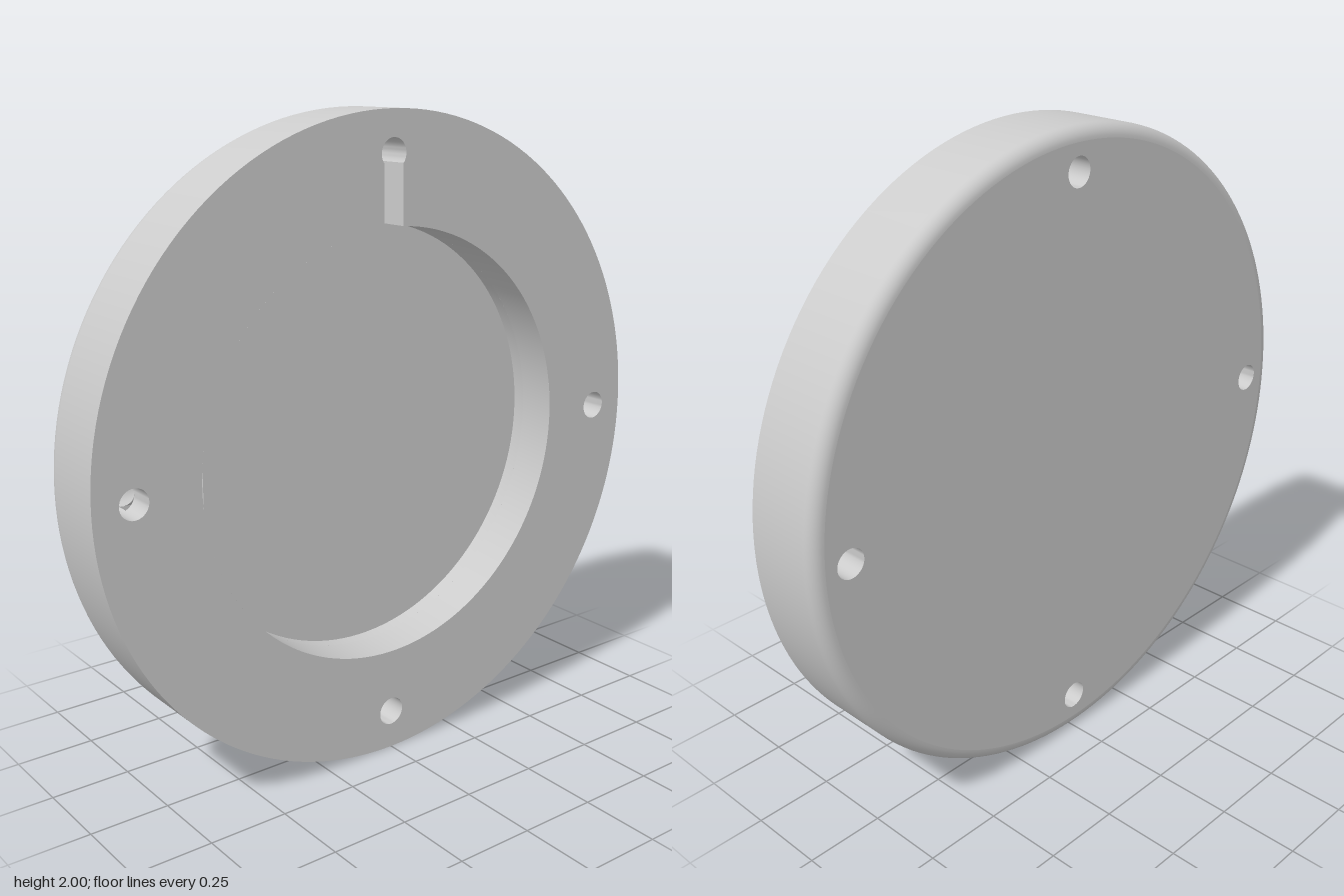
import * as THREE from 'three';
import { toCreasedNormals } from 'three/addons/utils/BufferGeometryUtils.js';

const FRONT = 0.125, BACK = -0.125, FLOOR = -0.042, SLOT = 0;
const R = 1, FILLET = 0.042, POCKET = 0.667, PITCH = 0.875, HOLE = 0.045;
const SLOT_HALF = 0.035, PORT = 0.0415, PATCH = 0.09;
const PI = Math.PI;

// Points along an arc, counter-clockwise
function arc(cx, cy, r, a0, a1, n) {
  return Array.from({ length: n + 1 }, (_, i) => {
    const a = a0 + (a1 - a0) * i / n;
    return new THREE.Vector2(cx + r * Math.cos(a), cy + r * Math.sin(a));
  });
}

const circle = (cx, cy, r, n) => arc(cx, cy, r, 0, 2 * PI, n);

// Wall standing on a 2D path between two depths
function wall(points, z0, z1) {
  const pos = [], index = [];
  points.forEach((p, i) => {
    pos.push(p.x, p.y, z0, p.x, p.y, z1);
    if (i) {
      const k = 2 * i;
      index.push(k - 2, k - 1, k, k, k - 1, k + 1);
    }
  });
  const g = new THREE.BufferGeometry();
  g.setAttribute('position', new THREE.Float32BufferAttribute(pos, 3));
  g.setIndex(index);
  return toCreasedNormals(g, 0.6);
}

// Flat face with holes at one depth
function face(outline, holes, z) {
  const s = new THREE.Shape(outline.slice());
  s.holes = holes.map((h) => new THREE.Path(h.slice()));
  return new THREE.ShapeGeometry(s).translate(0, 0, z);
}

export function createModel() {
  const model = new THREE.Group();
  const material = new THREE.MeshStandardMaterial({ color: 0xcccccc, side: THREE.DoubleSide });
  const add = (name, geometry) => {
    const m = new THREE.Mesh(geometry, material);
    m.name = name;
    m.position.y = 1;
    model.add(m);
  };

  // Angles where the slot meets the pocket and the top hole
  const a = Math.asin(SLOT_HALF / POCKET), b = Math.asin(SLOT_HALF / HOLE);
  const topArc = arc(0, PITCH, HOLE, -PI / 2 + b, 1.5 * PI - b, 32);
  const pocketArc = arc(0, 0, POCKET, PI / 2 + a, 2.5 * PI - a, 128);
  const holes = [[PITCH, 0], [0, -PITCH], [-PITCH, 0], [0, PITCH]]
    .map(([x, y]) => circle(x, y, HOLE, 36));

  // Outer rim with a rounded back edge
  const profile = [new THREE.Vector2(R, FRONT),
    ...arc(R - FILLET, BACK + FILLET, FILLET, 0, -PI / 2, 8)];
  add('outerRim', new THREE.LatheGeometry(profile, 160).rotateX(PI / 2));

  // Flat faces
  add('backFace', face(circle(0, 0, R - FILLET, 160), holes, BACK));
  add('frontFace', face(circle(0, 0, R, 160),
    [[...pocketArc, ...topArc], ...holes.slice(0, 3)], FRONT));
  add('pocketFloor', new THREE.CircleGeometry(POCKET, 128).translate(0, 0, FLOOR));
  add('slotFloor', face([
    ...arc(0, 0, POCKET, PI / 2 - a, PI / 2 + a, 6),
    ...arc(0, PITCH, HOLE, -PI / 2 - b, -PI / 2 + b, 10)], [], SLOT));

  // Pocket wall, interrupted by the slot and the side port
  add('pocketWallLower', wall(arc(0, 0, POCKET, -PI + PATCH, PI - PATCH, 124), FLOOR, SLOT));
  add('pocketWallRight', wall(arc(0, 0, POCKET, PI / 2 + a, PI - PATCH, 32), SLOT, FRONT));
  add('pocketWallRest', wall(arc(0, 0, POCKET, PI + PATCH, 2.5 * PI - a, 96), SLOT, FRONT));

  // Slot sides
  const yPocket = POCKET * Math.cos(a), yHole = PITCH - HOLE * Math.cos(b);
  for (const x of [-SLOT_HALF, SLOT_HALF]) {
    add('slotSide', wall([new THREE.Vector2(x, yPocket), new THREE.Vector2(x, yHole)], SLOT, FRONT));
  }

  // Piece of pocket wall pierced by the port, bent onto the pocket radius
  const u = PATCH * POCKET;
  const patch = face([[-u, FLOOR], [u, FLOOR], [u, FRONT], [-u, FRONT]]
    .map(([x, y]) => new THREE.Vector2(x, y)), [circle(0, 0, PORT, 32)], 0);
  const pp = patch.attributes.position;
  for (let i = 0; i < pp.count; i++) {
    const t = pp.getX(i) / POCKET, z = pp.getY(i);
    pp.setXYZ(i, -POCKET * Math.cos(t), POCKET * Math.sin(t), z);
  }
  patch.computeVertexNormals();
  add('portSurround', patch);

  // Radial port from the pocket to the side hole, ends trimmed to both walls
  const port = new THREE.CylinderGeometry(PORT, PORT, 1, 32, 1, true).rotateZ(PI / 2);
  const tp = port.attributes.position;
  for (let i = 0; i < tp.count; i++) {
    const y = tp.getY(i);
    tp.setX(i, tp.getX(i) > 0
      ? -Math.sqrt(POCKET ** 2 - y * y) : -PITCH + Math.sqrt(HOLE ** 2 - y * y));
  }
  add('sidePort', port);

  // Screw hole walls
  add('screwHole', wall(holes[0], BACK, FRONT));
  add('screwHole', wall(holes[1], BACK, FRONT));
  add('portScrewHoleBack', wall(holes[2], BACK, -PORT));
  add('portScrewHoleMiddle', wall(arc(-PITCH, 0, HOLE, 0.38 * PI, 1.62 * PI, 24), -PORT, PORT));
  add('portScrewHoleFront', wall(holes[2], PORT, FRONT));
  add('slotScrewHoleBack', wall(holes[3], BACK, SLOT));
  add('slotScrewHoleFront', wall(topArc, SLOT, FRONT));

  return model;
}
